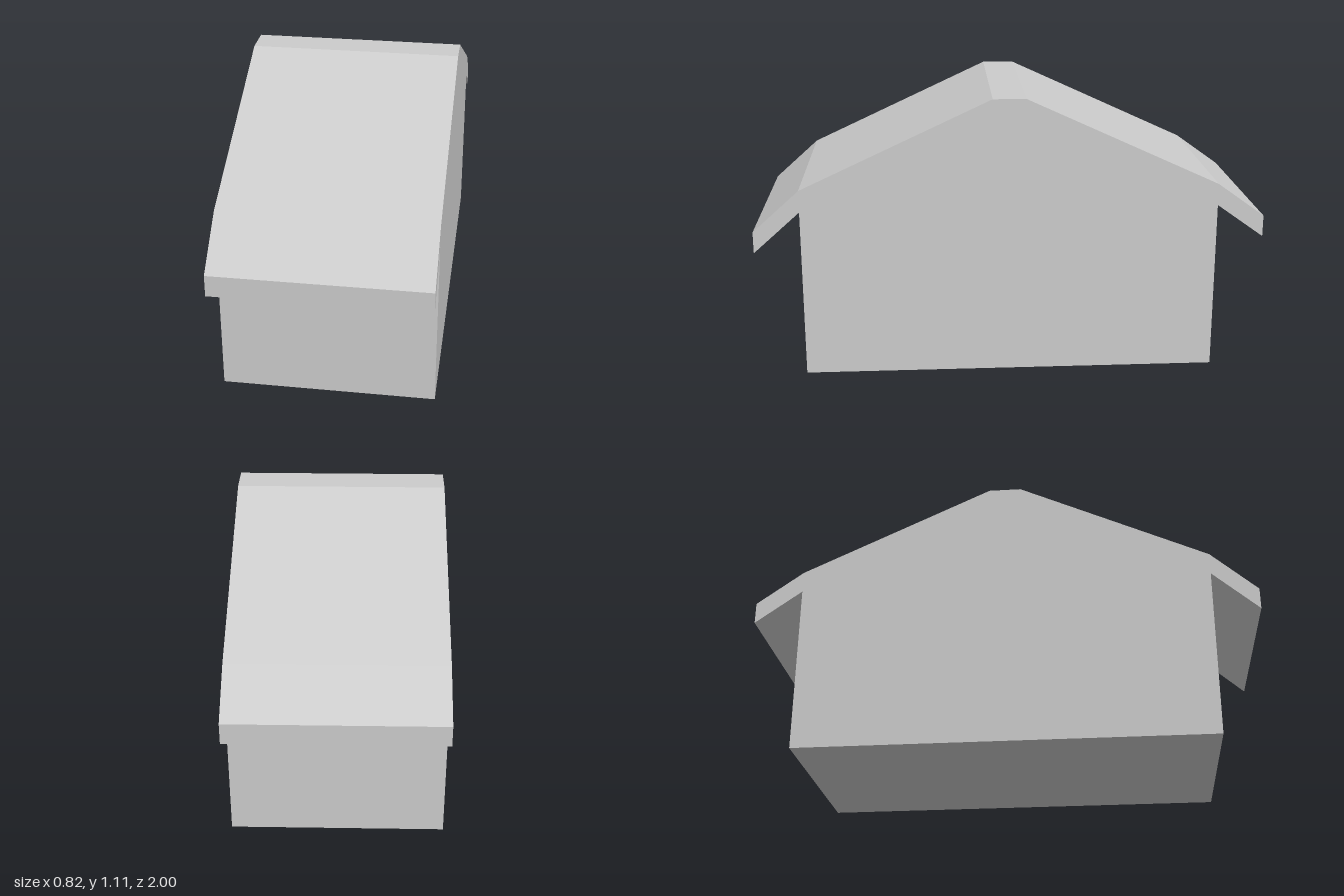
import * as THREE from 'three';

const WIDTH = 0.82;

// House cross-section as (z, y), running from the front foot over the roof to the back foot
const PROFILE = [
  [0.818, 0], [0.818, 0.672], [1, 0.51], [1, 0.595],   // front wall and eave
  [0.818, 0.758], [0.07, 1.106], [-0.058, 1.106], [-0.815, 0.758], // roof slopes and flat ridge
  [-1, 0.625], [-1, 0.54], [-0.815, 0.672], [-0.815, 0], // back eave and wall
];

export function createModel() {
  const model = new THREE.Group();
  model.name = 'house';

  const grey = new THREE.MeshStandardMaterial({ color: 0xcccccc });
  grey.name = 'light grey';

  // Gabled body and overhanging eaves, extruded across the width
  const shape = new THREE.Shape(PROFILE.map(([z, y]) => new THREE.Vector2(z, y)));
  const geometry = new THREE.ExtrudeGeometry(shape, { depth: WIDTH, bevelEnabled: false });
  geometry.translate(0, 0, -WIDTH / 2);
  geometry.rotateY(-Math.PI / 2);

  const shell = new THREE.Mesh(geometry, grey);
  shell.name = 'gabledShell';
  model.add(shell);
  return model;
}
